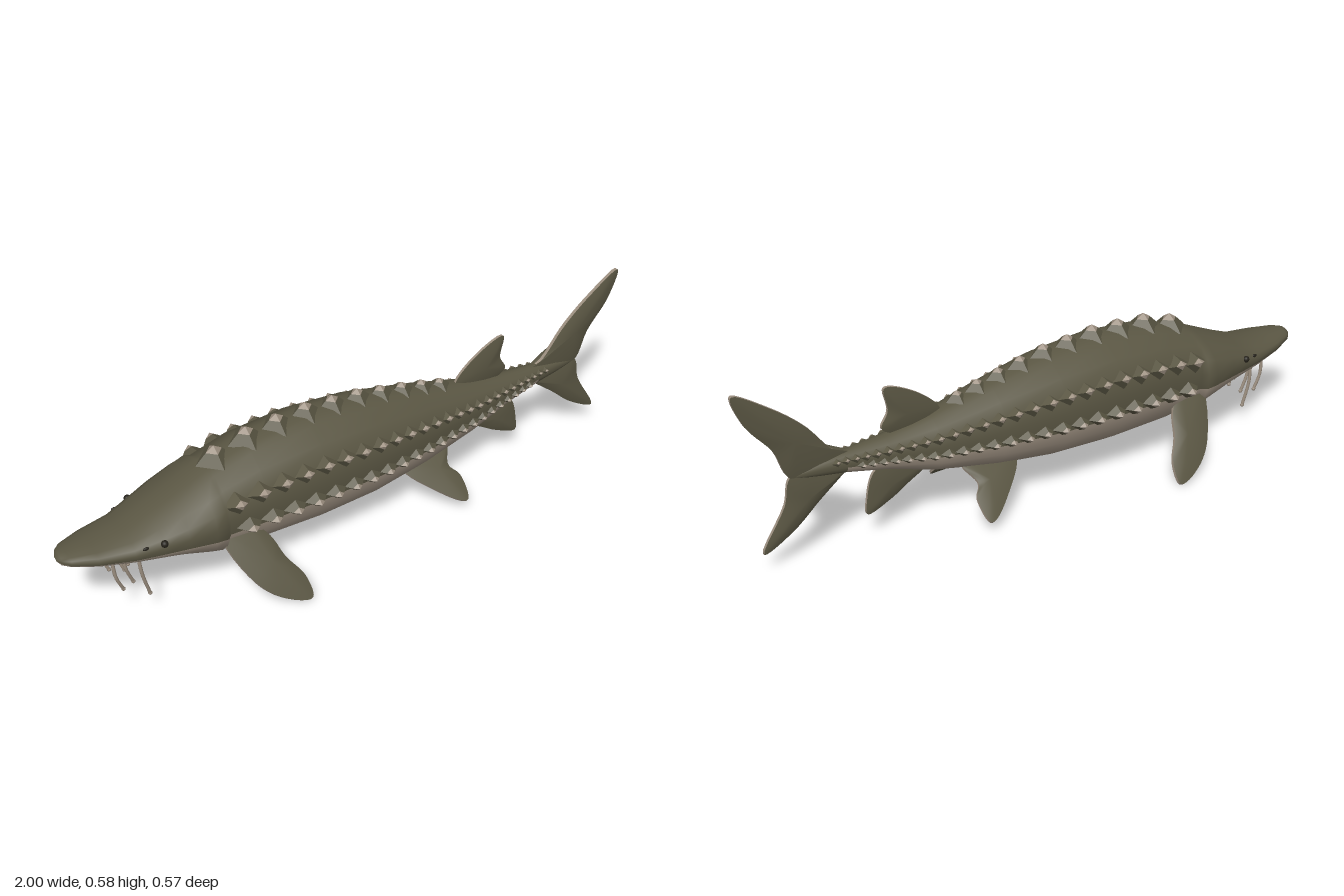
import * as THREE from 'three';
import { mergeGeometries } from 'three/addons/utils/BufferGeometryUtils.js';

const mat = (name, color) => {
  const m = new THREE.MeshStandardMaterial({ color });
  m.name = name;
  return m;
};

// Body stations: x, top, bottom, half width
const STATIONS = [
  [-1, .262, .255, .008], [-.99, .276, .243, .03], [-.97, .28, .238, .05], [-.9, .283, .222, .08],
  [-.8, .29, .2, .104], [-.72, .32, .185, .126], [-.65, .35, .17, .144], [-.57, .385, .143, .158],
  [-.535, .4, .132, .16], [-.52, .403, .128, .143], [-.4, .44, .113, .152], [-.2, .457, .105, .155],
  [0, .442, .112, .146], [.2, .402, .135, .115], [.4, .352, .175, .078], [.55, .326, .222, .05],
  [.68, .316, .25, .03], [.76, .308, .262, .02], [.84, .29, .275, .006]];

// Half cross-section from back to belly: share of half width, share of height
const SECTION = [[0, 1], [.2, .988], [.39, .955], [.71, .86], [.93, .73], [1, .56], [.97, .37],
  [.89, .24], [.71, .115], [.39, .02], [0, 0]];
const BELLY = 6;

function stationAt(x) {
  let i = 0;
  while (i < STATIONS.length - 2 && STATIONS[i + 1][0] < x) i++;
  const a = STATIONS[i], b = STATIONS[i + 1], t = (x - a[0]) / (b[0] - a[0]);
  return a.map((v, k) => v + (b[k] - v) * t);
}

function surface(x, [u, v]) {
  const [, top, bottom, w] = stationAt(x);
  return [x, bottom + (top - bottom) * v, u * w];
}

function bodyGeometry() {
  const ring = [...SECTION, ...SECTION.slice(1, -1).reverse().map(([u, v]) => [-u, v])];
  const n = ring.length, pos = [], back = [], belly = [];
  STATIONS.forEach(s => ring.forEach(p => pos.push(...surface(s[0], p))));
  for (let i = 0; i < STATIONS.length - 1; i++) {
    for (let k = 0; k < n; k++) {
      const a = i * n + k, b = i * n + (k + 1) % n, c = a + n, d = b + n;
      const pale = k >= BELLY && k < n - BELLY && STATIONS[i][0] < .6;
      (pale ? belly : back).push(a, b, c, c, b, d);
    }
  }
  const g = new THREE.BufferGeometry();
  g.setAttribute('position', new THREE.Float32BufferAttribute(pos, 3));
  g.setIndex([...back, ...belly]);
  g.addGroup(0, back.length, 0);
  g.addGroup(back.length, belly.length, 1);
  g.computeVertexNormals();
  return g;
}

// Lens-shaped fin with a thin pale rim; slope splays it outward as it drops
function makeFin(name, outline, thick, mats, z0 = 0, y0 = 0, slope = 0) {
  const curve = new THREE.CatmullRomCurve3(outline.map(([x, y]) => new THREE.Vector3(x, y, 0)), true, 'centripetal');
  let pts = curve.getPoints(48).slice(0, -1);
  if (THREE.ShapeUtils.isClockWise(pts)) pts.reverse();
  const n = pts.length;
  const mid = pts.reduce((s, p) => s.add(p), new THREE.Vector3()).divideScalar(n);
  const normal = new THREE.Vector3(0, slope, 1).normalize();
  const place = (p, offset) => {
    const q = new THREE.Vector3(p.x, p.y, z0 + slope * (y0 - p.y));
    return q.addScaledVector(normal, offset).toArray();
  };
  const build = (pos, idx) => {
    const g = new THREE.BufferGeometry();
    g.setAttribute('position', new THREE.Float32BufferAttribute(pos, 3));
    g.setIndex(idx);
    g.computeVertexNormals();
    return g;
  };
  const faces = [], faceIdx = [], rim = [], rimIdx = [];
  for (const s of [1, -1]) {
    const o = faces.length / 3;
    const tri = (a, b, c) => faceIdx.push(o + a, ...(s > 0 ? [o + b, o + c] : [o + c, o + b]));
    faces.push(...place(mid, s * thick));
    pts.forEach(p => faces.push(...place(mid.clone().lerp(p, .6), s * thick * .9)));
    pts.forEach(p => faces.push(...place(p, s * thick * .35)));
    for (let i = 0; i < n; i++) {
      const a = 1 + i, b = 1 + (i + 1) % n;
      tri(0, a, b);
      tri(a, a + n, b + n);
      tri(a, b + n, b);
    }
    pts.forEach(p => rim.push(...place(p, s * thick * .35)));
  }
  for (let i = 0; i < n; i++) {
    const j = (i + 1) % n;
    rimIdx.push(i, i + n, j, j, i + n, j + n);
  }
  const group = new THREE.Group();
  group.name = name;
  const blade = new THREE.Mesh(build(faces, faceIdx), mats[0]);
  blade.name = name + 'Blade';
  const edge = new THREE.Mesh(build(rim, rimIdx), mats[1]);
  edge.name = name + 'Edge';
  group.add(blade, edge);
  return group;
}

// Row of faceted bony plates with pale tips
function scuteRow(name, { from, to, step, spot, tilt, size }, mats) {
  const bases = [], tips = [];
  for (let x = from; x < to;) {
    const t = (x + .5) / 1.2, s = 1 - .65 * Math.max(0, t) ** 1.3;
    const [, y, z] = surface(x, spot);
    const add = (list, g, lift) => {
      g.translate(0, lift, 0).scale(size[0] * s, size[1] * s, size[2] * s);
      g.rotateX(tilt).translate(x, y, z);
      const flat = g.toNonIndexed();
      flat.computeVertexNormals();
      list.push(flat);
    };
    add(bases, new THREE.CylinderGeometry(.42, 1, .8, 4, 1, true), .2);
    add(tips, new THREE.ConeGeometry(.42, .4, 4, 1, true), .8);
    x += step * s;
  }
  const group = new THREE.Group();
  group.name = name;
  [bases, tips].forEach((list, i) => {
    const m = new THREE.Mesh(mergeGeometries(list), mats[i]);
    m.name = name + (i ? 'Tips' : 'Bases');
    group.add(m);
  });
  return group;
}

export function createModel() {
  const model = new THREE.Group();
  model.name = 'sturgeon';
  const olive = mat('olive back', 0x5a5643), pale = mat('pale belly', 0x9c8f80), dark = mat('dark eye', 0x25221b);
  const mats = [olive, pale];
  const add = (parent, name, geometry, material) => {
    const m = new THREE.Mesh(geometry, material);
    m.name = name;
    parent.add(m);
    return m;
  };

  add(model, 'body', bodyGeometry(), mats);

  // Fins on the centre line
  model.add(
    makeFin('upperTailLobe', [[.64, .3], [.7, .322], [.79, .43], [.89, .515], [.995, .577], [.965, .48],
      [.89, .38], [.845, .28], [.72, .255]], .016, mats),
    makeFin('lowerTailLobe', [[.66, .265], [.74, .285], [.845, .285], [.87, .2], [.945, .065], [.85, .11],
      [.76, .185], [.69, .24]], .014, mats),
    makeFin('dorsalFin', [[.36, .355], [.43, .43], [.54, .475], [.532, .4], [.555, .35], [.5, .32], [.4, .32]], .013, mats),
    makeFin('analFin', [[.4, .2], [.48, .145], [.54, .11], [.615, .085], [.615, .13], [.585, .22], [.5, .24]], .013, mats));

  // Central row of plates
  model.add(scuteRow('dorsalScutes', { from: -.49, to: .34, step: .105, spot: [0, .985], tilt: 0,
    size: [.062, .042, .062] }, mats));

  // Everything paired
  for (const side of [1, -1]) {
    const half = new THREE.Group();
    half.name = side > 0 ? 'leftParts' : 'rightParts';
    half.scale.z = side;
    half.add(
      scuteRow('upperSideScutes', { from: -.49, to: .72, step: .075, spot: [.93, .71], tilt: 1.2,
        size: [.05, .042, .036] }, mats),
      scuteRow('lowerSideScutes', { from: -.46, to: .66, step: .075, spot: [.98, .42], tilt: 1.6,
        size: [.046, .04, .034] }, mats),
      makeFin('pectoralFin', [[-.54, .22], [-.49, .09], [-.42, .03], [-.335, .006], [-.335, .06], [-.375, .12],
        [-.4, .18], [-.46, .235]], .015, mats, .13, .2, .76),
      makeFin('pelvicFin', [[.13, .15], [.2, .085], [.3, .036], [.31, .09], [.285, .12], [.31, .165], [.2, .18]],
        .012, mats, .05, .15, 1.12));

    // Whisker-like barbels under the snout: x, z, lowest y
    [[-.85, .05, .105], [-.81, .03, .1], [-.78, .075, .075]].forEach(([x, z, low]) => {
      const path = new THREE.CatmullRomCurve3([new THREE.Vector3(x - .005, .225, z),
        new THREE.Vector3(x, .16, z + .004), new THREE.Vector3(x + .02, low, z)]);
      add(half, 'barbel', new THREE.TubeGeometry(path, 10, .0055, 6), pale);
      add(half, 'barbelTip', new THREE.SphereGeometry(.0065, 8, 6), pale).position.set(x + .02, low, z);
    });

    // Eye and nostril
    const eye = add(half, 'eye', new THREE.SphereGeometry(.011, 14, 10), dark);
    eye.position.set(...surface(-.72, [.97, .66]));
    const nostril = add(half, 'nostril', new THREE.SphereGeometry(.008, 10, 8), dark);
    nostril.position.set(...surface(-.77, [.95, .68]));
    nostril.scale.set(1.3, .7, .5);
    model.add(half);
  }

  // Mouth on the underside
  const mouth = add(model, 'mouth', new THREE.SphereGeometry(.04, 20, 12), pale);
  mouth.position.set(-.7, .187, 0);
  mouth.scale.set(.7, .4, 1.2);
  return model;
}
